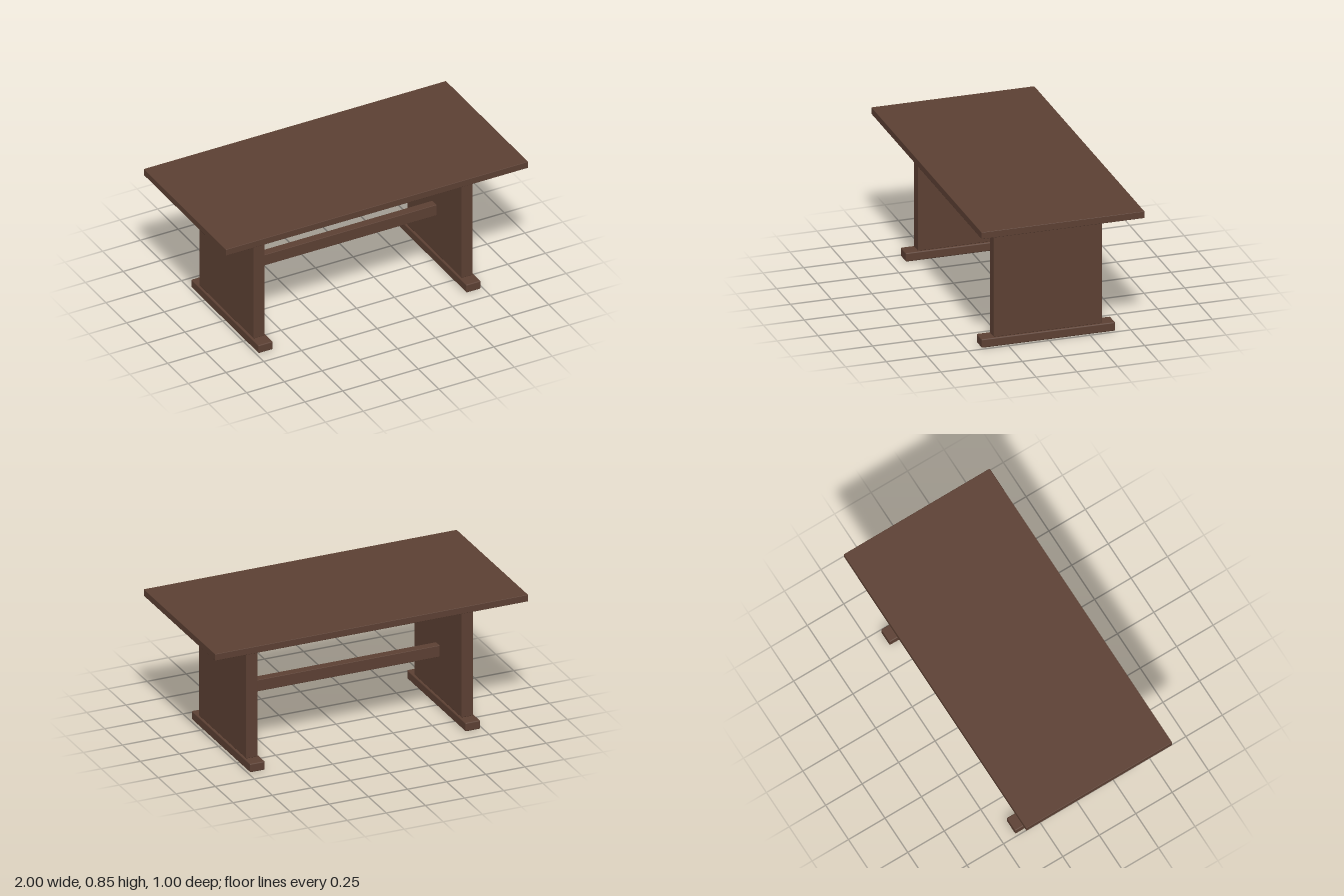
import * as THREE from 'three';
import { RoundedBoxGeometry } from 'three/addons/geometries/RoundedBoxGeometry.js';

export function createModel() {
  const model = new THREE.Group();
  model.name = 'trestleTable';
  const wood = new THREE.MeshStandardMaterial({ color: 0x5c4033 });
  wood.name = 'darkWood';

  // Board with softened edges, placed by its bottom height
  function board(parent, name, width, bottom, top, depth, radius) {
    const height = top - bottom;
    const mesh = new THREE.Mesh(new RoundedBoxGeometry(width, height, depth, 2, radius), wood);
    mesh.name = name;
    mesh.position.y = bottom + height / 2;
    parent.add(mesh);
  }

  board(model, 'tableTop', 2, 0.802, 0.845, 1, 0.003);
  board(model, 'stretcher', 1.304, 0.317, 0.39, 0.053, 0.003);

  // Matching end supports: foot, upright panel and top cleat
  for (const side of [-1, 1]) {
    const support = new THREE.Group();
    support.name = side > 0 ? 'leftSupport' : 'rightSupport';
    support.position.x = side * 0.688;
    board(support, 'foot', 0.095, 0, 0.055, 0.82, 0.007);
    board(support, 'panel', 0.074, 0.055, 0.747, 0.664, 0.004);
    board(support, 'cleat', 0.095, 0.747, 0.802, 0.776, 0.007);
    model.add(support);
  }
  return model;
}
